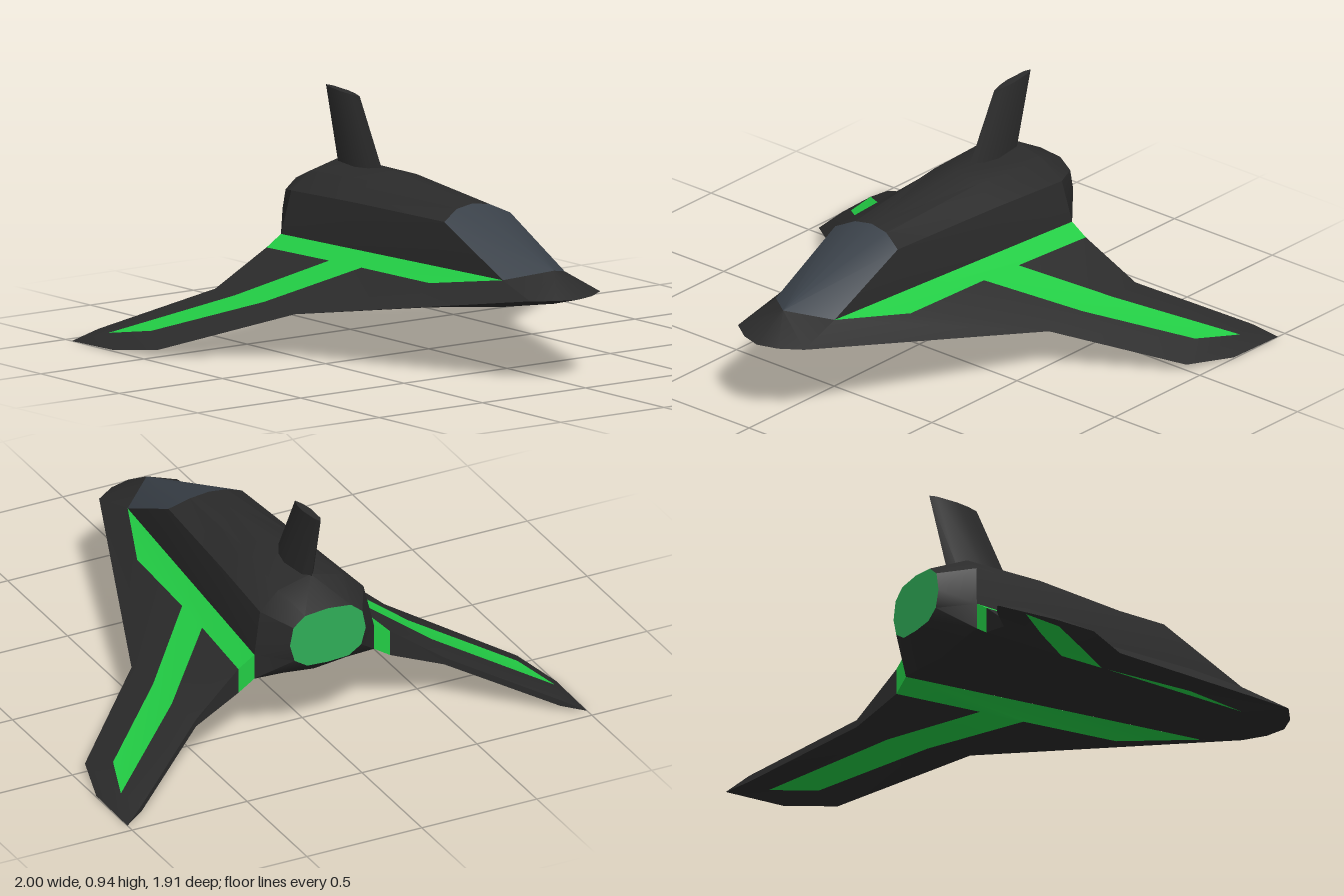
import * as THREE from 'three';
import { toCreasedNormals } from 'three/addons/utils/BufferGeometryUtils.js';

const hullMat = new THREE.MeshStandardMaterial({ color: 0x2b2b2b });
const greenMat = new THREE.MeshStandardMaterial({ color: 0x22cc44 });
const capMat = new THREE.MeshStandardMaterial({ color: 0x2fae58 });
const glassMat = new THREE.MeshStandardMaterial({ color: 0x3a4149 });

// Fans each polygon into triangles and mirrors it across x = 0
function mirroredPanels(name, polygons, material) {
  const pos = [];
  for (const p of polygons) {
    for (let i = 1; i < p.length - 1; i++) {
      const tri = [p[0], p[i], p[i + 1]];
      for (const v of tri) pos.push(...v);
      for (const v of tri.reverse()) pos.push(-v[0], v[1], v[2]);
    }
  }
  const geo = new THREE.BufferGeometry();
  geo.setAttribute('position', new THREE.Float32BufferAttribute(pos, 3));
  const mesh = new THREE.Mesh(toCreasedNormals(geo, 0.5), material);
  mesh.name = name;
  return mesh;
}

// Quads between successive half sections
function loft(sections) {
  const quads = [];
  for (let i = 0; i < sections.length - 1; i++) {
    const a = sections[i], b = sections[i + 1];
    for (let j = 0; j < a.length - 1; j++) quads.push([a[j], a[j + 1], b[j + 1], b[j]]);
  }
  return quads;
}

// Wing corners: A root, S stripe edge, D/U stripe branch, L leading edge, T trailing edge
const top = {
  A0: [0.15, 0.39, 0.67], A1: [0.26, 0.39, -0.6],
  S1: [0.27, 0.345, 0.36], S2: [0.288, 0.345, -0.05], S3: [0.3, 0.345, -0.24],
  D1: [0.555, 0.2, -0.32], D2: [0.88, 0.08, -0.61],
  U1: [0.565, 0.2, -0.495], U2: [0.945, 0.05, -0.8],
  L0: [0.17, 0.34, 0.87], L1: [0.55, 0.18, -0.13], L2: [0.94, 0.03, -0.49],
  L3: [1, 0.005, -0.7], L4: [1, 0, -0.96],
  T1: [0.33, 0.345, -0.6], T2: [0.54, 0.2, -0.65], T3: [0.91, 0.045, -0.91],
};
// Underside heights; leading edge corners are shared with the top
const underY = {
  A0: 0.285, A1: 0.285, S1: 0.25, S2: 0.24, S3: 0.24, D1: 0.165, D2: 0.045,
  U1: 0.165, U2: 0.025, T1: 0.24, T2: 0.17, T3: 0.02,
};
const under = {};
for (const k in top) under[k] = [top[k][0], underY[k] ?? top[k][1], top[k][2]];

const stripePanels = ['A0 S1 S2 S3 T1 A1', 'S2 D1 U1 S3', 'D1 D2 U2 U1'];
const wingPanels = ['A0 L0 L1 S1', 'S1 L1 S2', 'S2 L1 D1', 'L1 L2 D2 D1', 'L2 L3 U2 D2',
  'L3 L4 U2', 'L4 T3 U2', 'U2 T3 T2 U1', 'U1 T2 T1 S3'];

function bothSides(panels) {
  return panels.flatMap((s) => {
    const keys = s.split(' ');
    return [keys.map((k) => top[k]), keys.map((k) => under[k]).reverse()];
  });
}
const trailingWall = (a, b) => [top[a], top[b], under[b], under[a]];

export function createModel() {
  const ship = new THREE.Group();
  ship.name = 'spacecraft';

  // Swept wings with stripes on both faces
  ship.add(mirroredPanels('wings', [...bothSides(wingPanels),
    trailingWall('T1', 'T2'), trailingWall('T2', 'T3'), trailingWall('T3', 'L4')], hullMat));
  ship.add(mirroredPanels('wingStripes', [...bothSides(stripePanels),
    trailingWall('A1', 'T1')], greenMat));

  // Fuselage half sections, each from the spine round to the keel
  const sections = [
    [[0, 0.615, 0.28], [0.08, 0.603, 0.285], [0.16, 0.565, 0.31], [0.182, 0.39, 0.3],
      [0.182, 0.285, 0.3], [0.1, 0.275, 0.3], [0, 0.26, 0.4]],
    [[0, 0.665, -0.22], [0.11, 0.64, -0.22], [0.197, 0.565, -0.22], [0.227, 0.39, -0.22],
      [0.227, 0.285, -0.22], [0.13, 0.275, -0.22], [0, 0.26, -0.22]],
    [[0, 0.665, -0.57], [0.14, 0.63, -0.57], [0.225, 0.56, -0.58], [0.26, 0.39, -0.6],
      [0.26, 0.285, -0.6], [0.14, 0.28, -0.6], [0, 0.265, -0.6]],
    [[0, 0.585, -0.715], [0.1, 0.575, -0.715], [0.15, 0.535, -0.715], [0.165, 0.46, -0.715],
      [0.145, 0.39, -0.715], [0.09, 0.355, -0.715], [0, 0.35, -0.715]],
  ];
  const [p0, p1, p2, p3, p4, p5, p6] = sections[0];
  const { A0, L0 } = top, B0 = under.A0;
  const brow = [0, 0.43, 0.8], chin = [0, 0.3, 0.8];
  const tip = [0, 0.34, 0.955], tipSide = [0.085, 0.34, 0.93];
  ship.add(mirroredPanels('fuselage', [...loft(sections),
    [p2, A0, p3], [A0, B0, p4, p3], [B0, chin, p6, p5, p4]], hullMat));
  ship.add(mirroredPanels('nose', [[brow, tip, tipSide, L0, A0],
    [chin, B0, L0, tipSide, tip]], hullMat));
  ship.add(mirroredPanels('canopy', [[brow, A0, p2, p1, p0]], glassMat));
  ship.add(mirroredPanels('rearCap', [sections[3]], capMat));

  // Tail fin: a tapered, bevelled section swept backwards
  const finSection = (y, w, front, back, rise) => [[0, 0], [0.7, 0.2], [1, 0.45], [0.65, 0.88], [0, 1]]
    .map(([x, t]) => [x * w, y + rise * t, front + (back - front) * t]);
  const finBase = finSection(0.645, 0.04, -0.29, -0.575, 0);
  const finTop = finSection(0.925, 0.018, -0.44, -0.655, 0.015);
  ship.add(mirroredPanels('tailFin', [...loft([finBase, finTop]).map((q) =>
    [q[0], q[1], q[2], q[3]]), finTop], hullMat));

  return ship;
}
